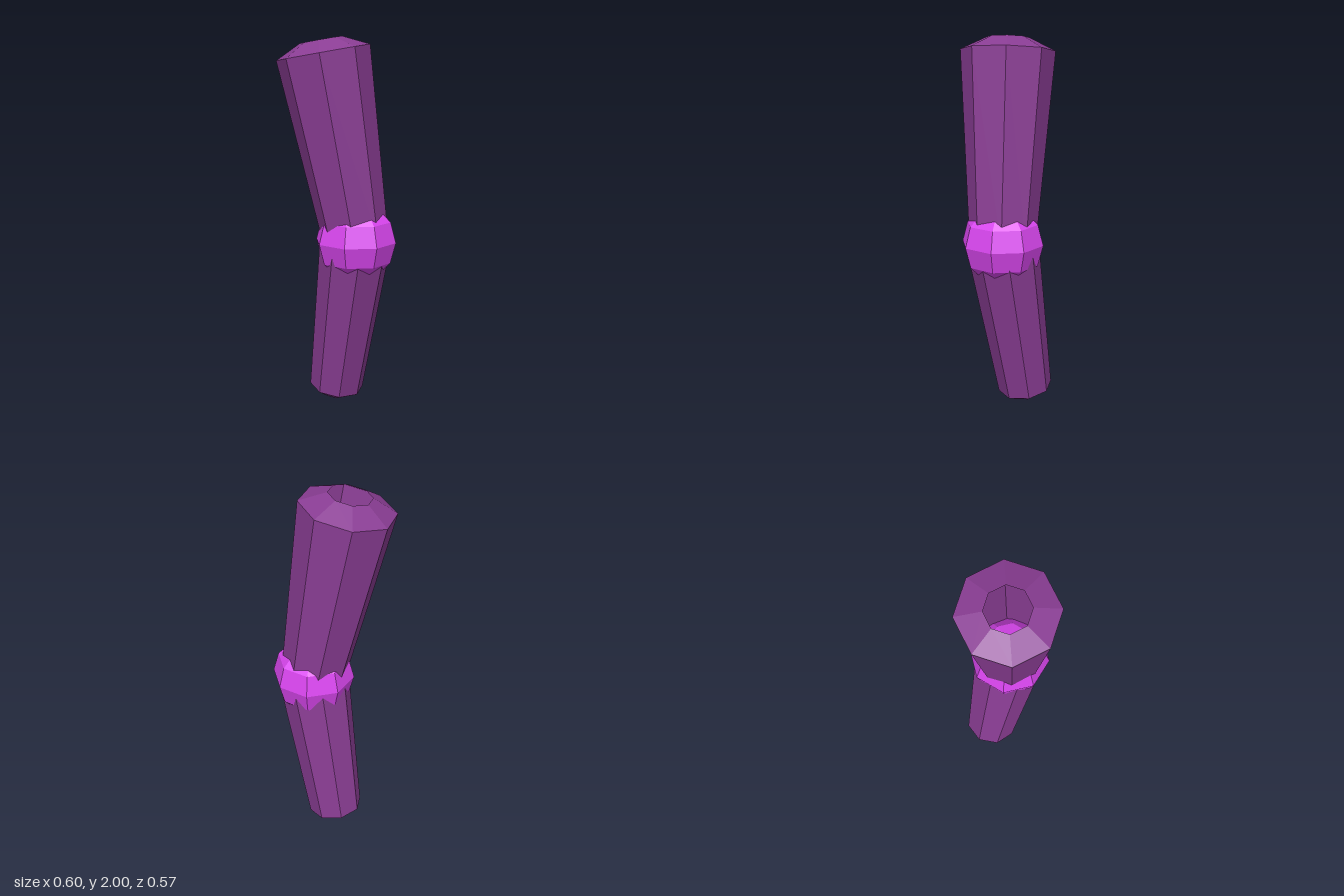
import * as THREE from 'three';

const V = (x, y, z) => new THREE.Vector3(x, y, z);

// Eight-sided tapered shell running from one joint towards an open, bevelled end
function segment(name, from, to, rFrom, rTo, bevel, rHole, phase, material) {
  const axis = to.clone().sub(from);
  const length = axis.length();
  const profile = [
    new THREE.Vector2(rFrom, 0),
    new THREE.Vector2(rTo, length),
    new THREE.Vector2(rHole, length + bevel),
  ];
  // The axis leans only slightly; flip the profile when it points down
  const down = axis.y < 0;
  if (down) {
    axis.negate();
    profile.forEach((p) => { p.y *= -1; });
    profile.reverse();
  }
  const geometry = new THREE.LatheGeometry(profile, 8, THREE.MathUtils.degToRad(phase));
  const mesh = new THREE.Mesh(geometry, material);
  mesh.quaternion.setFromUnitVectors(V(0, 1, 0), axis.normalize());
  mesh.position.copy(from);
  mesh.name = name;
  return mesh;
}

export function createModel() {
  const group = new THREE.Group();
  group.name = 'limb';

  const shell = new THREE.MeshStandardMaterial({ color: 0x8a3d94, flatShading: true, side: THREE.DoubleSide });
  const jointMaterial = new THREE.MeshStandardMaterial({ color: 0xd946ef, flatShading: true });
  const joint = V(0.08, 0.93, 0.065);

  // Upper and lower limb, both hollow and open at the far end
  group.add(segment('upperLimb', joint, V(-0.057, 1.92, -0.045), 0.175, 0.248, 0.065, 0.112, 13, shell));
  group.add(segment('lowerLimb', joint, V(0.05, 0.073, -0.095), 0.193, 0.148, 0.055, 0.062, 22.5, shell));

  // Faceted ball joint
  const ball = new THREE.Mesh(new THREE.SphereGeometry(0.22, 8, 6), jointMaterial);
  ball.position.copy(joint);
  ball.name = 'joint';
  group.add(ball);

  return group;
}
